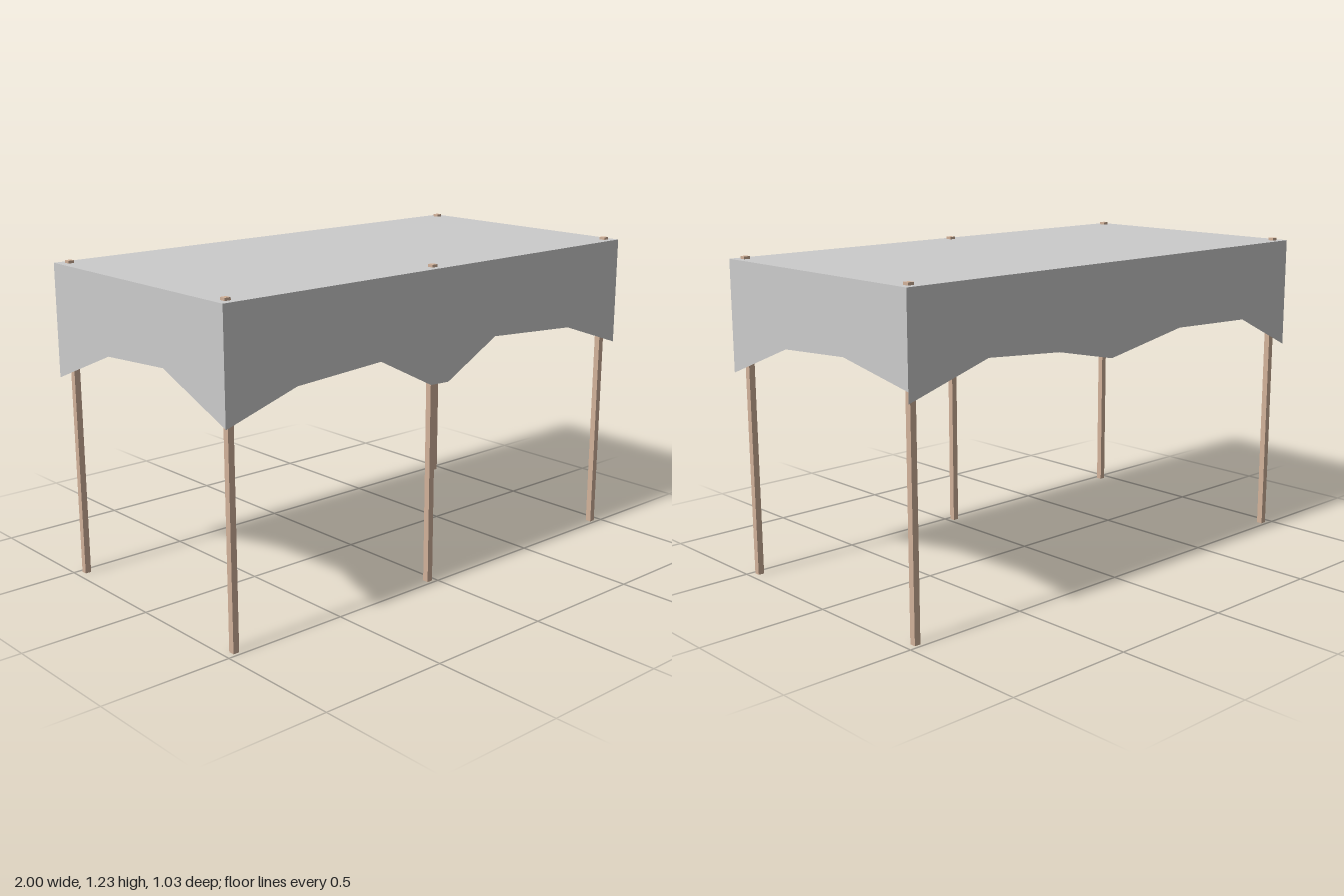
import * as THREE from 'three';

const TOP = 1.215, HALF_X = 1, HALF_Z = 0.515;
const POST_X = 0.958, POST_Z = 0.474, MID_X = -0.03, BAR = 0.024;

export function createModel() {
  const model = new THREE.Group();
  model.name = 'canopyShelter';
  const cloth = new THREE.MeshStandardMaterial({ color: 0xcccccc, side: THREE.DoubleSide });
  const wood = new THREE.MeshStandardMaterial({ color: 0xd2b29a });

  const add = (name, geometry, material) => {
    const mesh = new THREE.Mesh(geometry, material);
    mesh.name = name;
    model.add(mesh);
    return mesh;
  };

  // Flat roof sheet
  const roof = add('roofSheet', new THREE.PlaneGeometry(2 * HALF_X, 2 * HALF_Z), cloth);
  roof.rotation.x = -Math.PI / 2;
  roof.position.y = TOP;

  // Hanging valances: lower edge runs left to right as seen from outside
  const valance = (name, edge, x, z, turn) => {
    const half = edge[edge.length - 1][0];
    const points = [...edge, [half, TOP], [-half, TOP]].map(([u, y]) => new THREE.Vector2(u, y));
    const mesh = add(name, new THREE.ShapeGeometry(new THREE.Shape(points)), cloth);
    mesh.position.set(x, 0, z);
    mesh.rotation.y = turn;
  };
  valance('frontValance', [[-1, 0.803], [-0.7, 0.896], [-0.32, 0.918], [-0.07, 0.79],
    [0.02, 0.787], [0.27, 0.921], [0.7, 0.893], [1, 0.79]], 0, HALF_Z, 0);
  valance('backValance', [[-1, 0.84], [-0.655, 0.945], [-0.32, 0.92], [-0.05, 0.862],
    [0.33, 0.93], [0.72, 0.917], [1, 0.783]], 0, -HALF_Z, Math.PI);
  valance('leftValance', [[-HALF_Z, 0.79], [-0.17, 0.925], [0.17, 0.945], [HALF_Z, 0.88]],
    HALF_X, 0, Math.PI / 2);
  valance('rightValance', [[-HALF_Z, 0.782], [-0.17, 0.923], [0.17, 0.944], [HALF_Z, 0.805]],
    -HALF_X, 0, -Math.PI / 2);

  // Posts, poking slightly through the roof
  const postHeight = TOP + 0.01;
  const post = (name, x, z) => {
    add(name, new THREE.BoxGeometry(BAR, postHeight, BAR), wood).position.set(x, postHeight / 2, z);
  };
  for (const [sideX, nameX] of [[1, 'Left'], [-1, 'Right']]) {
    post('front' + nameX + 'Post', sideX * POST_X, POST_Z);
    post('back' + nameX + 'Post', sideX * POST_X, -POST_Z);
  }
  post('frontMiddlePost', MID_X, POST_Z);

  // Roof beams just under the sheet
  const beam = (name, x1, z1, x2, z2) => {
    const length = Math.hypot(x2 - x1, z2 - z1);
    const mesh = add(name, new THREE.BoxGeometry(length, BAR, BAR), wood);
    mesh.position.set((x1 + x2) / 2, TOP - BAR / 2 - 0.003, (z1 + z2) / 2);
    mesh.rotation.y = -Math.atan2(z2 - z1, x2 - x1);
  };
  beam('frontBeam', -POST_X, POST_Z, POST_X, POST_Z);
  beam('backBeam', -POST_X, -POST_Z, POST_X, -POST_Z);
  beam('leftBeam', POST_X, -POST_Z, POST_X, POST_Z);
  beam('rightBeam', -POST_X, -POST_Z, -POST_X, POST_Z);

  // Braces fanning out from the middle post to the back
  beam('leftBrace', MID_X, POST_Z, POST_X, -POST_Z);
  beam('middleBrace', MID_X, POST_Z, MID_X, -POST_Z);
  beam('rightBrace', MID_X, POST_Z, -POST_X, -POST_Z);

  return model;
}
